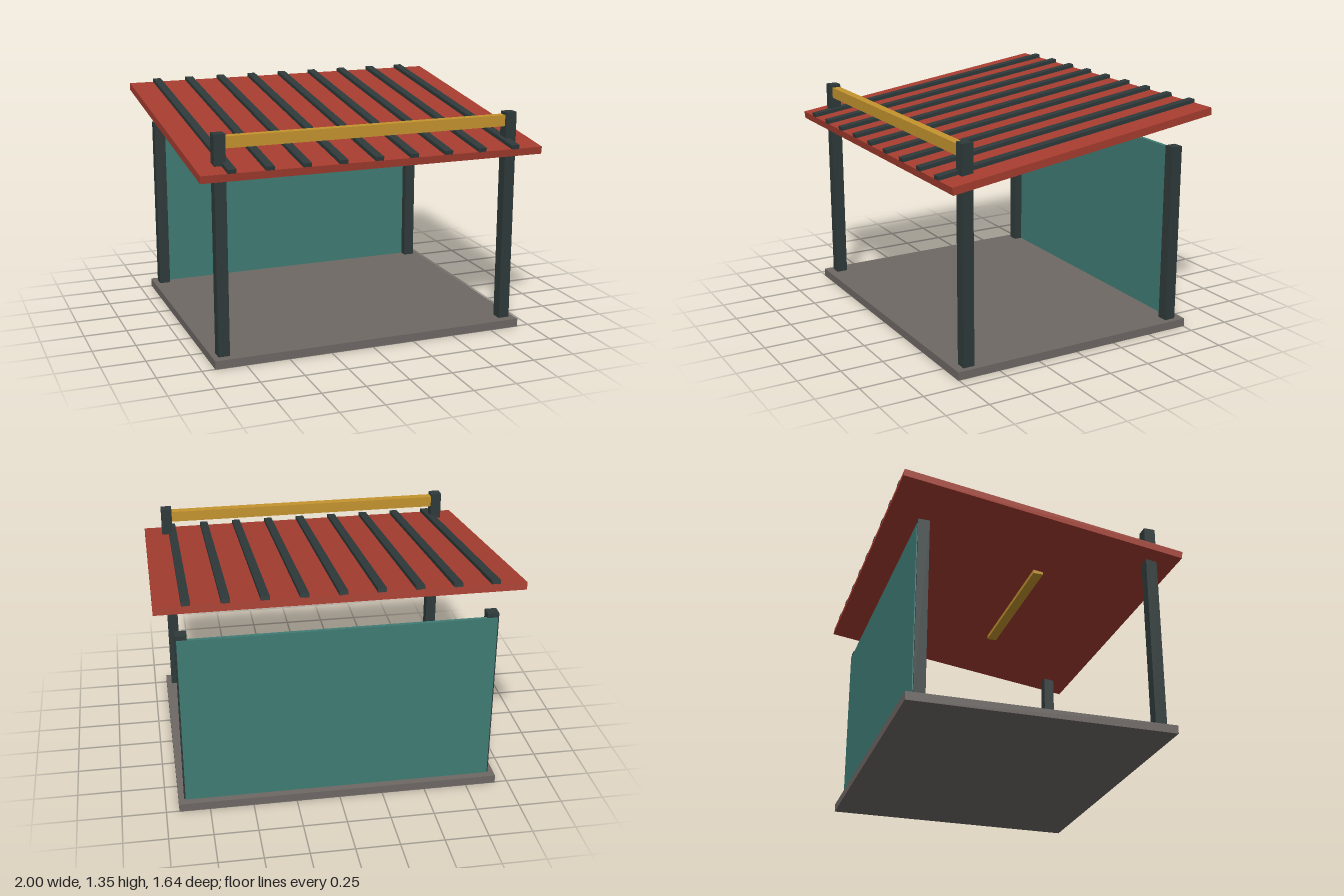
import * as THREE from 'three';

const paint = (name, color) => {
  const m = new THREE.MeshStandardMaterial({ color });
  m.name = name;
  return m;
};

export function createModel() {
  const red = paint('roofRed', 0xa63d2f);
  const dark = paint('charcoalSteel', 0x2f3a3a);
  const teal = paint('wallTeal', 0x3f7c74);
  const ochre = paint('ochreYellow', 0xc4942e);
  const grey = paint('slabGrey', 0x6e6864);

  const box = (parent, name, material, [w, h, d], [x, y, z]) => {
    const mesh = new THREE.Mesh(new THREE.BoxGeometry(w, h, d), material);
    mesh.name = name;
    mesh.position.set(x, y, z);
    parent.add(mesh);
    return mesh;
  };

  const model = new THREE.Group();
  model.name = 'shelter';
  const floorTop = 0.048;

  // floor slab
  box(model, 'floorSlab', grey, [1.852, floorTop, 1.51], [0, floorTop / 2, 0]);

  // four posts, the front pair taller
  const post = (name, x, z, top) =>
    box(model, name, dark, [0.065, top - floorTop, 0.066], [x, (top + floorTop) / 2, z]);
  for (const [side, x] of [['Left', 0.861], ['Right', -0.861]]) {
    post('front' + side + 'Post', x, 0.673, 1.284);
    post('rear' + side + 'Post', x, -0.673, 1.094);
  }

  // back wall, just proud of the rear posts
  box(model, 'backWall', teal, [1.772, 1.02, 0.022], [0, floorTop + 0.51, -0.7]);

  // fascia beam between the front posts
  box(model, 'frontBeam', ochre, [1.66, 0.064, 0.05], [0, 1.235, 0.668]);

  // sloping roof with standing ribs
  const roof = new THREE.Group();
  roof.name = 'roof';
  roof.position.set(0, 1.19, 0);
  roof.rotation.x = THREE.MathUtils.degToRad(8);
  model.add(roof);
  box(roof, 'roofPanel', red, [2, 0.043, 1.65], [0, 0, 0]);
  for (let i = -4; i <= 4; i++) {
    box(roof, 'roofRib', dark, [0.048, 0.024, 1.65], [i * 0.2073, 0.031, 0]);
  }

  // light bar under the roof
  box(model, 'lightBar', ochre, [0.92, 0.03, 0.06], [0, 1.145, 0.14]);

  return model;
}
